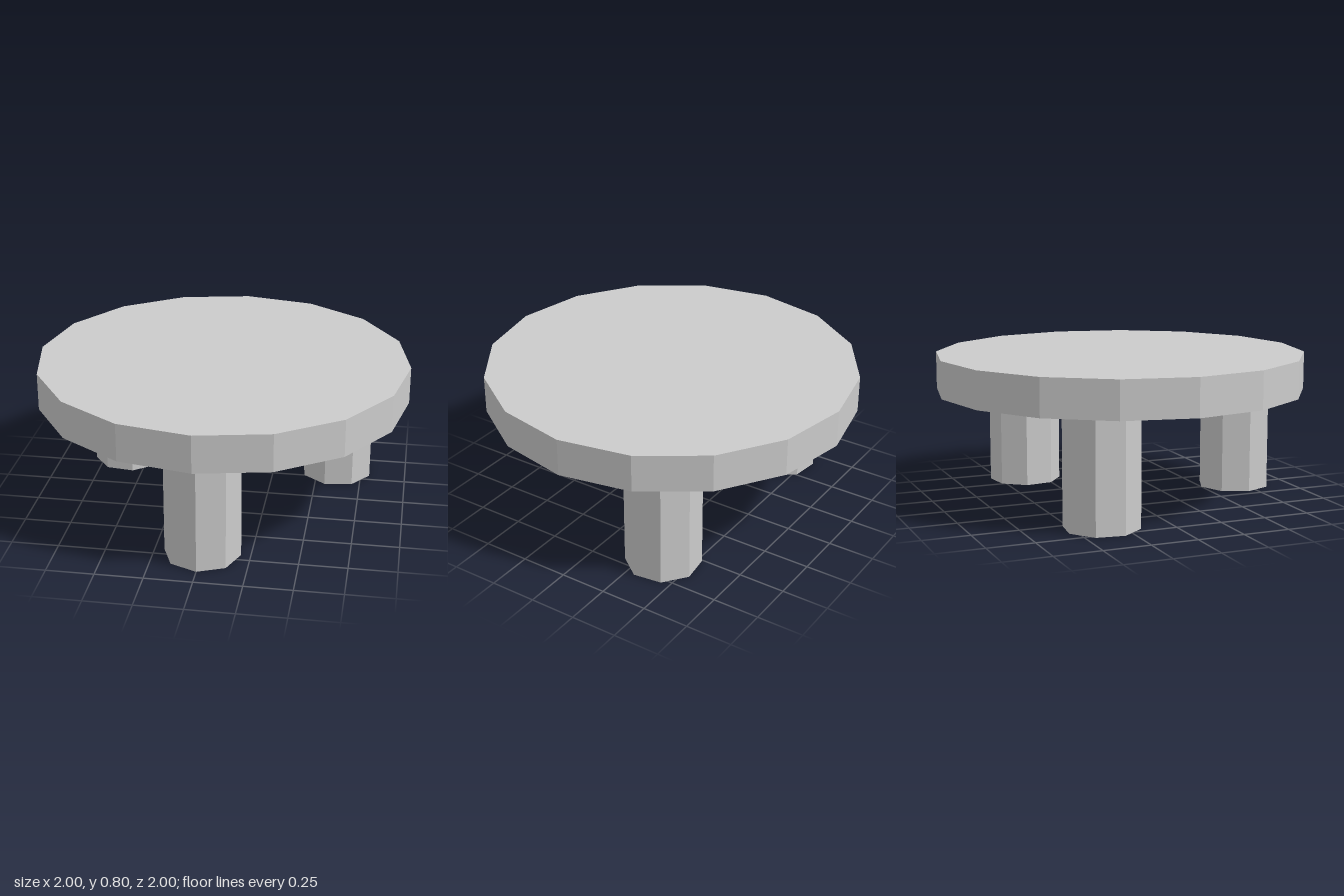
import * as THREE from 'three';

export function createModel() {
  const model = new THREE.Group();
  model.name = 'roundTable';
  const material = new THREE.MeshStandardMaterial({ color: 0xcccccc, flatShading: true });

  // Sixteen-sided slab
  const top = new THREE.Mesh(new THREE.CylinderGeometry(1, 1, 0.2, 16), material);
  top.name = 'tableTop';
  top.position.y = 0.7;
  model.add(top);

  // Three octagonal legs, each turned with its place around the centre
  const legGeometry = new THREE.CylinderGeometry(0.2, 0.2, 0.6, 8).translate(0, 0.3, 0.7);
  ['frontLeg', 'backLeftLeg', 'backRightLeg'].forEach((name, i) => {
    const leg = new THREE.Mesh(legGeometry, material);
    leg.name = name;
    leg.rotation.y = (i * Math.PI * 2) / 3;
    model.add(leg);
  });

  return model;
}
